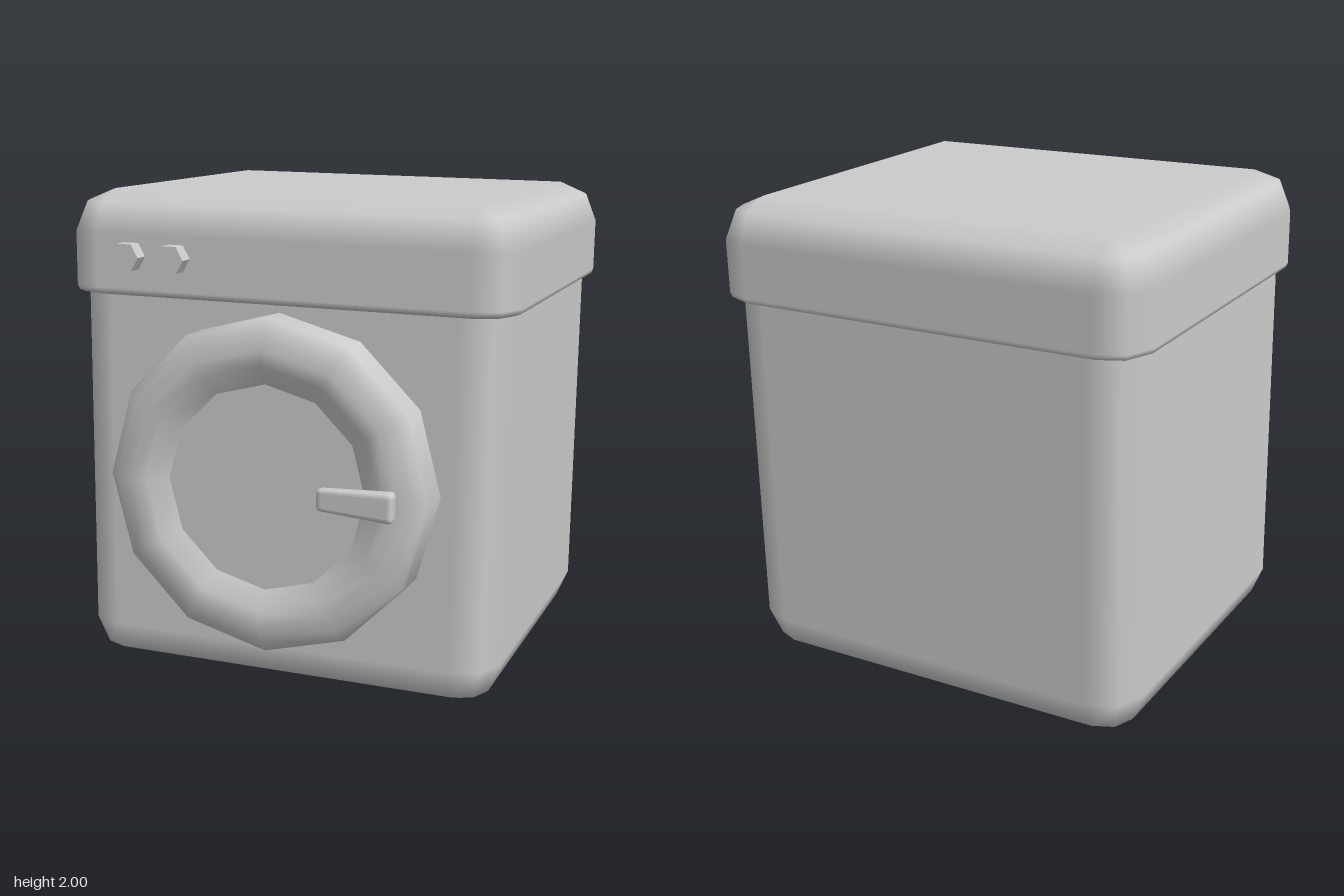
import * as THREE from 'three';
import { RoundedBoxGeometry } from 'three/addons/geometries/RoundedBoxGeometry.js';

const material = new THREE.MeshStandardMaterial({ color: 0xcccccc });

// Box with rounded upright corners and its own bevel radius at the bottom and top
function bevelledBox({ x0, x1, y0, y1, z0, z1, corner, bottom, top }) {
  const rings = [];
  for (const a of [-90, -45, 0]) rings.push([y0, bottom, a]);
  for (const a of [0, 45, 90]) rings.push([y1, top, a]);

  const position = [], normal = [], index = [];
  const corners = [[x1 - corner, z1 - corner], [x0 + corner, z1 - corner],
    [x0 + corner, z0 + corner], [x1 - corner, z0 + corner]];
  for (const [edge, r, degrees] of rings) {
    const phi = THREE.MathUtils.degToRad(degrees);
    const inset = r * (1 - Math.cos(phi));
    const y = edge + Math.sign(edge === y0 ? 1 : -1) * r * (1 - Math.abs(Math.sin(phi)));
    corners.forEach(([cx, cz], q) => {
      for (let s = 0; s <= 2; s++) {
        const a = (q + s / 2) * Math.PI / 2;
        const dx = Math.cos(a), dz = Math.sin(a);
        position.push(cx + (corner - inset) * dx, y, cz + (corner - inset) * dz);
        normal.push(dx * Math.cos(phi), Math.sin(phi), dz * Math.cos(phi));
      }
    });
  }
  const n = 12, last = (rings.length - 1) * n;
  for (let k = 0; k < rings.length - 1; k++) {
    for (let i = 0; i < n; i++) {
      const a = k * n + i, b = k * n + (i + 1) % n;
      index.push(a, a + n, b, b, a + n, b + n);
    }
  }
  for (let i = 1; i < n - 1; i++) {
    index.push(0, i, i + 1, last, last + i + 1, last + i);
  }
  const geometry = new THREE.BufferGeometry();
  geometry.setAttribute('position', new THREE.Float32BufferAttribute(position, 3));
  geometry.setAttribute('normal', new THREE.Float32BufferAttribute(normal, 3));
  geometry.setIndex(index);
  return geometry;
}

function addMesh(parent, name, geometry, x = 0, y = 0, z = 0) {
  const mesh = new THREE.Mesh(geometry, material);
  mesh.name = name;
  mesh.position.set(x, y, z);
  parent.add(mesh);
  return mesh;
}

export function createModel() {
  const model = new THREE.Group();
  model.name = 'washingMachine';

  // The whole machine leans very slightly
  const machine = new THREE.Group();
  machine.name = 'machine';
  machine.rotation.set(-0.008, 0, -0.01);
  model.add(machine);

  // Cabinet and the wider lid that caps it
  addMesh(machine, 'cabinet', bevelledBox({
    x0: -0.91, x1: 0.874, y0: 0.013, y1: 1.64, z0: -0.884, z1: 0.697,
    corner: 0.17, bottom: 0.17, top: 0.02 }));
  addMesh(machine, 'lid', bevelledBox({
    x0: -0.949, x1: 0.915, y0: 1.578, y1: 1.988, z0: -0.919, z1: 0.726,
    corner: 0.165, bottom: 0.028, top: 0.165 }));

  // Twelve-sided door ring with a shallow recessed window
  const door = new THREE.Group();
  door.name = 'door';
  door.position.set(-0.009, 0.885, 0);
  machine.add(door);
  const profile = [[0.665, 0.66], [0.665, 0.83], [0.655, 0.85], [0.615, 0.875],
    [0.55, 0.887], [0.49, 0.883], [0.41, 0.835]].map(p => new THREE.Vector2(...p));
  addMesh(door, 'doorRing', new THREE.LatheGeometry(profile, 12).rotateX(Math.PI / 2));
  addMesh(door, 'doorWindow', new THREE.CircleGeometry(0.41, 12), 0, 0, 0.835);

  // Door handle, taller and thicker towards its outer end
  const handle = new RoundedBoxGeometry(0.31, 0.12, 0.065, 2, 0.02);
  const p = handle.attributes.position;
  for (let i = 0; i < p.count; i++) {
    const t = p.getX(i) / 0.31 + 0.5;
    p.setY(i, p.getY(i) * (0.72 + 0.28 * t));
    p.setZ(i, (p.getZ(i) + 0.0325) * (0.65 + 0.35 * t));
  }
  handle.computeVertexNormals();
  addMesh(door, 'doorHandle', handle, 0.395, 0.002, 0.877);

  // Two six-sided control knobs
  for (const x of [-0.628, -0.434]) {
    const knob = new THREE.CylinderGeometry(0.06, 0.06, 0.11, 6)
      .rotateY(Math.PI / 6 * 3).rotateX(Math.PI / 2).toNonIndexed();
    knob.computeVertexNormals();
    addMesh(machine, 'controlKnob', knob, x, 1.74, 0.734);
  }

  return model;
}
